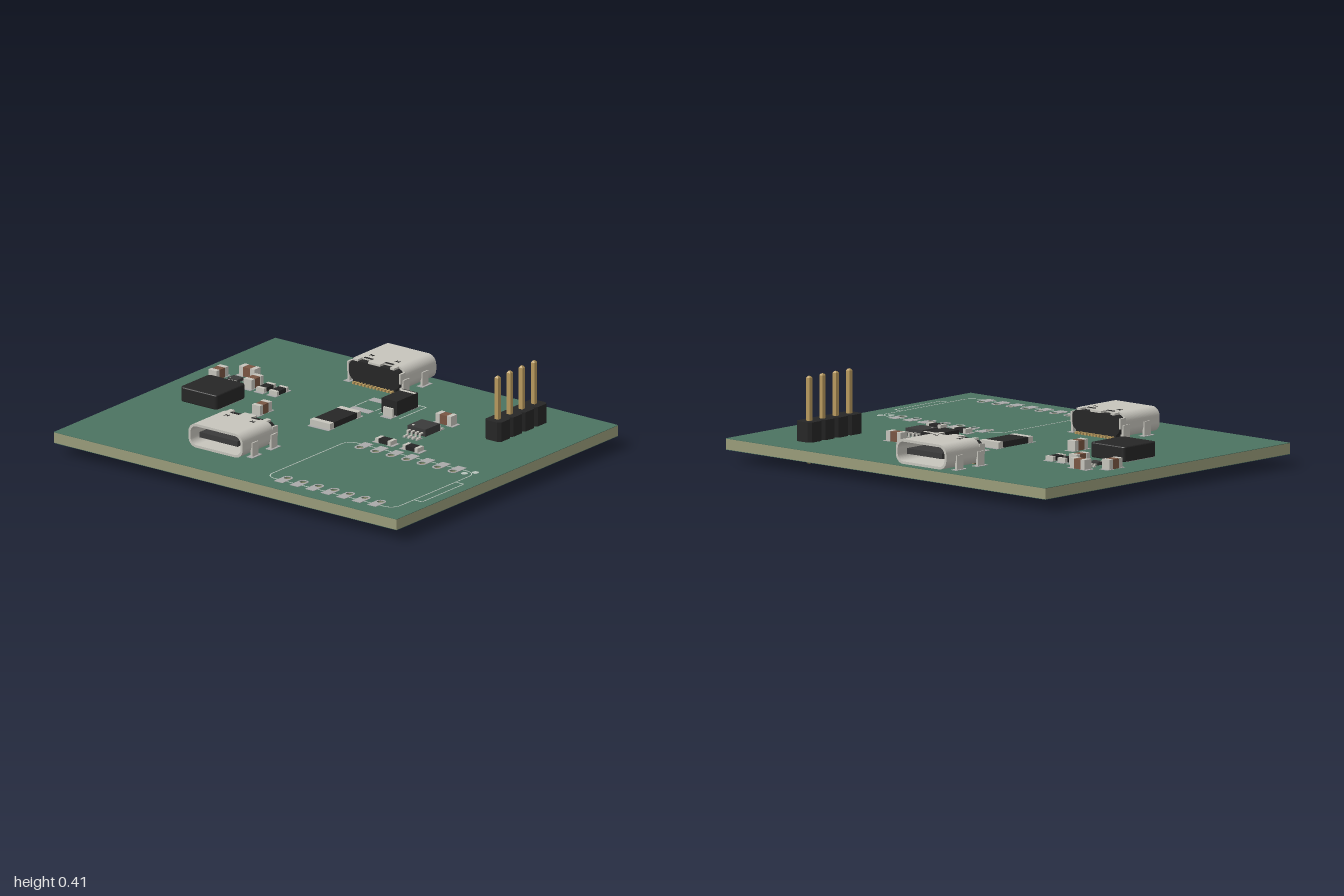
import * as THREE from 'three';

const TOP = 0.107, BOTTOM = 0.053; // board faces
const mat = (color, extra = {}) => new THREE.MeshStandardMaterial({ color, ...extra });
const M = {
  mask: mat(0x4c7361), core: mat(0x9a9c7a), black: mat(0x262626), dark: mat(0x3a3a3a),
  steel: mat(0xc6c4bc), pad: mat(0xaaaaaa), silk: mat(0xb8c4bc), gold: mat(0xb89a5e), brown: mat(0x7a5643),
};

function add(parent, name, geometry, material, x = 0, y = 0, z = 0) {
  const mesh = new THREE.Mesh(geometry, material);
  mesh.name = name;
  mesh.position.set(x, y, z);
  parent.add(mesh);
  return mesh;
}
// Box standing on height y
function box(parent, name, material, w, h, d, x, y, z) {
  return add(parent, name, new THREE.BoxGeometry(w, h, d), material, x, y + h / 2, z);
}
function group(parent, name, x = 0, y = 0, z = 0, turn = 0) {
  const g = new THREE.Group();
  g.name = name;
  g.position.set(x, y, z);
  g.rotation.y = turn;
  parent.add(g);
  return g;
}
function roundRect(w, h, r, Type = THREE.Shape) {
  const s = new Type(), x = w / 2 - r, y = h / 2 - r;
  s.absarc(x, y, r, 0, Math.PI / 2);
  s.absarc(-x, y, r, Math.PI / 2, Math.PI);
  s.absarc(-x, -y, r, Math.PI, Math.PI * 1.5);
  s.absarc(x, -y, r, Math.PI * 1.5, Math.PI * 2);
  s.closePath();
  return s;
}
const circle = (x, y, r, Type = THREE.Path) => new Type().absarc(x, y, r, 0, Math.PI * 2);
const extrude = (shape, depth) => new THREE.ExtrudeGeometry(shape, { depth, bevelEnabled: false, curveSegments: 10 });
// Plan shape (its y is -z) extruded upwards
const slab = (shape, h) => extrude(shape, h).rotateX(-Math.PI / 2);

// Module footprint: seven holes in each of two rows
const holes = [];
for (let i = 0; i < 7; i++) for (const [z, s] of [[0.142, -1], [0.688, 1]]) holes.push([0.25 + i * 0.0905, z, s]);
const pinZ = [-0.351, -0.442, -0.533, -0.624];

function buildBoard(root) {
  const g = group(root, 'circuitBoard');
  const s = new THREE.Shape([[-1, -0.835], [1, -0.835], [1, 0.835], [-1, 0.835]].map(p => new THREE.Vector2(...p)));
  for (const [x, z] of holes) s.holes.push(circle(x, -z, 0.017));
  add(g, 'boardCore', slab(s, 0.05), M.core, 0, BOTTOM + 0.002, 0);
  add(g, 'topMask', slab(s, 0.002), M.mask, 0, TOP - 0.002, 0);
  add(g, 'bottomMask', slab(s, 0.002), M.mask, 0, BOTTOM, 0);
}

function buildModuleFootprint(root) {
  const g = group(root, 'moduleFootprint');
  for (const [x, z, s] of holes) {
    // pad with a rounded inner end
    const p = new THREE.Shape();
    p.moveTo(0.025, s * -0.07);
    p.lineTo(0.025, 0);
    p.absarc(0, 0, 0.025, 0, s * Math.PI, s < 0);
    p.lineTo(-0.025, s * -0.07);
    p.closePath();
    p.holes.push(circle(0, 0, 0.017));
    add(g, 'modulePad', slab(p, 0.002), M.pad, x, TOP, z);
    const ring = circle(0, 0, 0.023, THREE.Shape);
    ring.holes.push(circle(0, 0, 0.017));
    add(g, 'bottomRing', slab(ring, 0.002), M.pad, x, BOTTOM - 0.002, z);
  }
  const frame = roundRect(0.75, 0.63, 0.055);
  frame.holes.push(roundRect(0.74, 0.62, 0.05, THREE.Path));
  add(g, 'moduleOutline', slab(frame, 0.001), M.silk, 0.525, TOP, 0.415);
  box(g, 'portOutline', M.silk, 0.005, 0.001, 0.31, 0.945, TOP, 0.415);
  for (const z of [0.258, 0.572]) box(g, 'portOutline', M.silk, 0.045, 0.001, 0.005, 0.922, TOP, z);
  for (const [x, z] of [[0.888, 0.097], [0.856, 0.137]])
    add(g, 'markerDot', new THREE.CylinderGeometry(0.016, 0.016, 0.002, 16), M.silk, x, TOP + 0.001, z);
}

// Oval socket opening to local +z, on four legs
function buildSocket(root, name, x, z, turn) {
  const g = group(root, name, x, TOP, z, turn);
  const cy = 0.064, w = 0.316, h = 0.116;
  const shell = roundRect(w, h, 0.045);
  shell.holes.push(roundRect(w - 0.024, h - 0.024, 0.034, THREE.Path));
  add(g, 'socketShell', extrude(shell, 0.23), M.steel, 0, cy, -0.097);
  add(g, 'socketHousing', extrude(roundRect(w - 0.02, h - 0.02, 0.036), 0.08), M.black, 0, cy, -0.13);
  box(g, 'housingBase', M.black, 0.25, 0.05, 0.03, 0, 0.005, -0.115);
  box(g, 'socketTongue', M.dark, 0.22, 0.026, 0.16, 0, cy - 0.013, 0.03);
  box(g, 'shellTab', M.steel, 0.07, 0.01, 0.037, 0, 0.112, -0.115);
  for (const s of [-1, 1]) {
    box(g, 'shellTab', M.steel, 0.025, 0.01, 0.037, s * 0.106, 0.111, -0.115);
    box(g, 'shellSide', M.steel, 0.01, 0.05, 0.037, s * 0.152, 0.05, -0.115);
    box(g, 'shellSlot', M.black, 0.05, 0.002, 0.012, s * 0.06, 0.121, -0.092);
    for (const dx of [-0.008, 0.008])
      box(g, 'springSlot', M.black, 0.005, 0.002, 0.022, s * 0.075 + dx, 0.121, -0.05);
    box(g, 'springSlot', M.black, 0.02, 0.002, 0.004, s * 0.075, 0.121, -0.05);
    for (const lz of [-0.098, 0.045]) {
      box(g, 'socketLeg', M.steel, 0.012, 0.125, 0.045, s * 0.158, -0.057, lz);
      box(g, 'legPad', M.pad, 0.035, 0.002, 0.075, s * 0.158, 0, lz);
      box(g, 'bottomLegPad', M.pad, 0.02, 0.002, 0.055, s * 0.158, BOTTOM - TOP - 0.002, lz);
    }
  }
  for (let i = 0; i < 12; i++)
    box(g, 'socketContact', M.gold, 0.011, 0.01, 0.05, -0.11 + i * 0.02, 0.001, -0.125);
}

// Two-ended chip part, long along local x
function buildChip(root, name, x, z, upright, body, L, W, H, cap) {
  const g = group(root, name, x, TOP, z, upright ? Math.PI / 2 : 0);
  box(g, 'chipBody', body, L - cap * 1.9, H - 0.002, W - 0.003, 0, 0.001, 0);
  for (const s of [-1, 1]) {
    box(g, 'endCap', M.steel, cap, H, W, s * (L - cap) / 2, 0, 0);
    box(g, 'solderPad', M.pad, cap + 0.018, 0.002, W + 0.008, s * (L - cap + 0.012) / 2, 0, 0);
  }
}

// Leaded package with stepped legs toward -z and +z
function buildLeaded(root, name, x, z, w, d, h, reach, count, pitch) {
  const g = group(root, name, x, TOP, z);
  box(g, 'packageBody', M.dark, w, h - 0.008, d, 0, 0.008, 0);
  for (const s of [-1, 1]) for (let i = 0; i < count; i++) {
    const lx = (i - (count - 1) / 2) * pitch, lw = pitch * 0.42, out = reach / 2;
    box(g, 'legShoulder', M.steel, lw, 0.006, reach * 0.4, lx, h * 0.5, s * (d / 2 + reach * 0.2));
    box(g, 'legDrop', M.steel, lw, h * 0.5, 0.006, lx, 0.004, s * (d / 2 + reach * 0.4));
    box(g, 'legFoot', M.steel, lw, 0.006, out, lx, 0.002, s * (d / 2 + reach * 0.65));
    box(g, 'solderPad', M.pad, lw * 1.3, 0.002, reach * 0.8, lx, 0, s * (d / 2 + reach * 0.6));
  }
  add(g, 'pinOneMark', new THREE.CylinderGeometry(w * 0.06, w * 0.06, 0.002, 12), M.steel, -w * 0.32, h + 0.001, d * 0.32);
}

function buildHeader(root) {
  const g = group(root, 'pinHeader', 0.672, 0, 0);
  const a = 0.047, b = 0.032, e = 0.0455;
  const block = new THREE.Shape([[-a, -b], [-b, -e], [b, -e], [a, -b], [a, b], [b, e], [-b, e], [-a, b]]
    .map(p => new THREE.Vector2(...p)));
  for (const z of pinZ) {
    add(g, 'headerBlock', slab(block, 0.094), M.black, 0, TOP, z);
    box(g, 'headerPin', M.gold, 0.021, 0.394, 0.021, 0, 0.008, z);
    for (const [y, top, low] of [[0.406, 0.007, 0.0148], [0.004, 0.0148, 0.007]]) {
      const tip = new THREE.CylinderGeometry(top, low, 0.008, 4).rotateY(Math.PI / 4);
      add(g, 'pinTip', tip, mat(0xb89a5e, { flatShading: true }), 0, y, z);
    }
    add(g, 'pinPad', new THREE.CylinderGeometry(0.028, 0.028, 0.003, 16), M.gold, 0, BOTTOM - 0.001, z);
  }
}

function buildPower(root) {
  // Inductor: square block with bevelled edges
  const coil = new THREE.ExtrudeGeometry(roundRect(0.2, 0.206, 0.012),
    { depth: 0.062, bevelThickness: 0.005, bevelSize: 0.008, bevelSegments: 2 }).rotateX(-Math.PI / 2);
  add(root, 'inductor', coil, M.black, -0.695, TOP + 0.006, 0.03);
  for (const s of [-1, 1]) box(root, 'inductorPad', M.pad, 0.06, 0.006, 0.19, -0.695 + s * 0.075, TOP, 0.03);

  // Diode: block with a pale band and folded end terminals
  const d = group(root, 'diode', 0.09, TOP, -0.365);
  box(d, 'diodeBody', M.black, 0.09, 0.07, 0.16, 0, 0.011, 0);
  box(d, 'polarityBand', M.steel, 0.088, 0.002, 0.018, 0, 0.08, -0.062);
  for (const s of [-1, 1]) {
    box(d, 'diodeTerminal', M.steel, 0.056, 0.042, 0.016, 0, 0.002, s * 0.084);
    box(d, 'diodePad', M.pad, 0.062, 0.002, 0.06, 0, 0, s * 0.08);
    box(d, 'diodeOutline', M.silk, 0.005, 0.001, 0.205, s * 0.06, 0, -0.02);
  }
  box(d, 'diodeOutline', M.silk, 0.12, 0.001, 0.005, 0, 0, -0.122);

  // Empty fuse pads
  for (const s of [-1, 1]) {
    box(root, 'fusePad', M.pad, 0.118, 0.002, 0.043, -0.065, TOP, -0.35 + s * 0.075);
    box(root, 'fuseOutline', M.silk, 0.005, 0.001, 0.09, -0.065 + s * 0.058, TOP, -0.35);
  }
}

export function createModel() {
  const root = new THREE.Group();
  root.name = 'circuitBoardAssembly';
  buildBoard(root);
  buildModuleFootprint(root);
  buildSocket(root, 'frontSocket', -0.222, 0.488, 0);
  buildSocket(root, 'backSocket', -0.207, -0.686, Math.PI);
  buildHeader(root);
  buildPower(root);
  for (const [x, z, up] of [[-0.866, -0.232, 1], [-0.762, -0.334, 0], [-0.66, -0.232, 1], [-0.407, 0.033, 1], [0.36, -0.366, 0]])
    buildChip(root, 'capacitor', x, z, up, M.brown, 0.09, 0.047, 0.048, 0.024);
  for (const [x, z, up] of [[-0.587, -0.232, 1], [-0.513, -0.232, 1], [0.307, 0.02, 0], [0.465, 0.02, 0]])
    buildChip(root, 'resistor', x, z, up, M.black, 0.09, 0.046, 0.022, 0.018);
  buildChip(root, 'senseResistor', -0.065, -0.08, 1, M.black, 0.235, 0.116, 0.03, 0.03);
  buildLeaded(root, 'sensorChip', 0.36, -0.195, 0.105, 0.108, 0.043, 0.05, 4, 0.024);
  buildLeaded(root, 'regulatorChip', -0.765, -0.232, 0.058, 0.046, 0.022, 0.018, 3, 0.018);
  return root;
}
